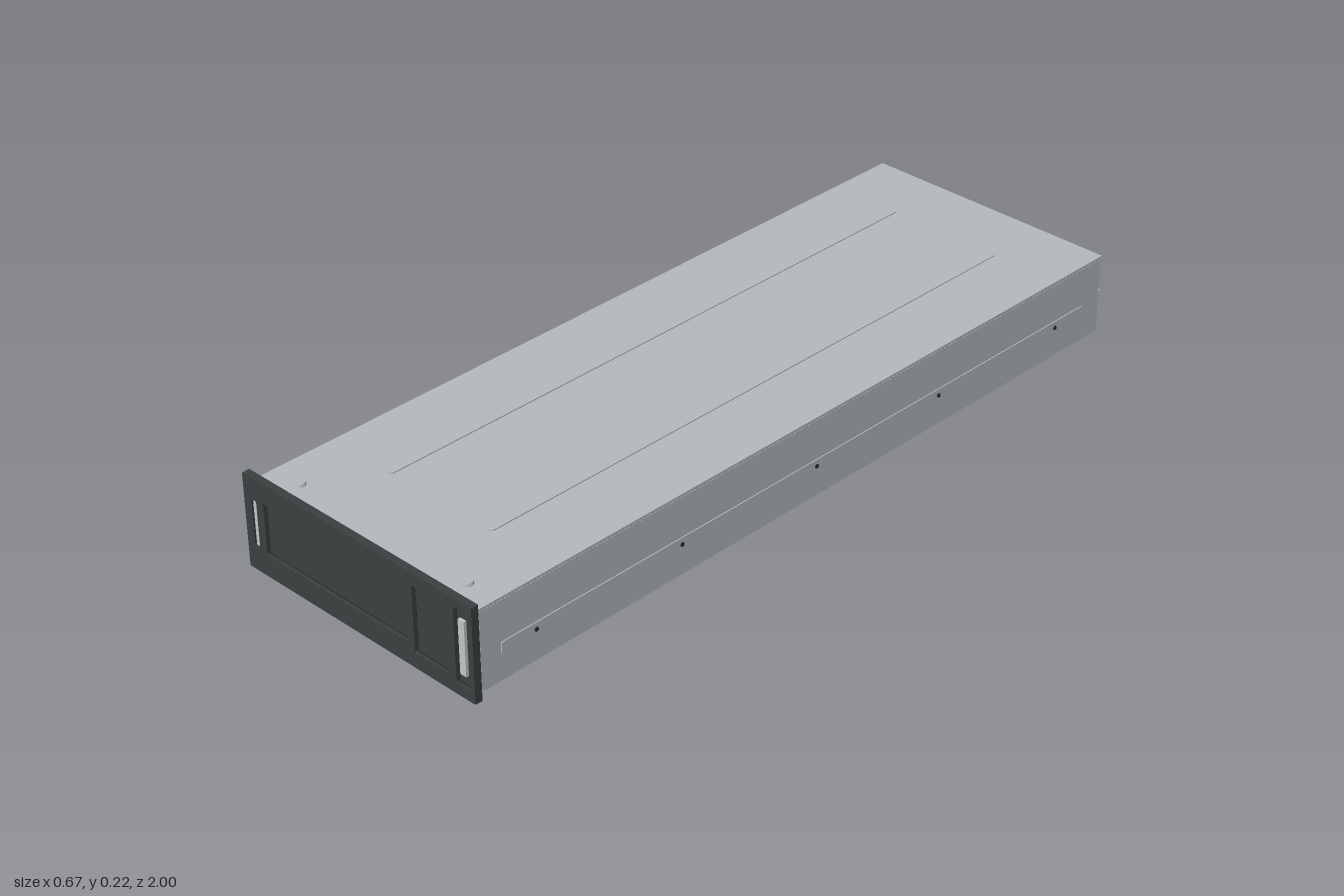
import * as THREE from 'three';

const mat = (name, color) => Object.assign(new THREE.MeshStandardMaterial({ color }), { name });

// Rectangle outline with rounded corners, given by its limits
function roundedRect(Type, x0, x1, y0, y1, r) {
  const s = new Type();
  s.moveTo(x0 + r, y0);
  s.lineTo(x1 - r, y0);
  s.absarc(x1 - r, y0 + r, r, -Math.PI / 2, 0);
  s.lineTo(x1, y1 - r);
  s.absarc(x1 - r, y1 - r, r, 0, Math.PI / 2);
  s.lineTo(x0 + r, y1);
  s.absarc(x0 + r, y1 - r, r, Math.PI / 2, Math.PI);
  s.lineTo(x0, y0 + r);
  s.absarc(x0 + r, y0 + r, r, Math.PI, Math.PI * 1.5);
  return s;
}

export function createModel() {
  const model = new THREE.Group();
  model.name = 'rackPowerModule';
  const steel = mat('sheetSteel', 0xb4b8bc);
  const dark = mat('darkPlastic', 0x3a4040);
  const black = mat('blackPlastic', 0x282c2c);
  const light = mat('lightMetal', 0xc2c5c6);

  const add = (name, geo, material, x = 0, y = 0, z = 0) => {
    const m = new THREE.Mesh(geo, material);
    m.name = name;
    m.position.set(x, y, z);
    model.add(m);
    return m;
  };
  // Box given by its limits on each axis
  const box = (name, material, x0, x1, y0, y1, z0, z1) =>
    add(name, new THREE.BoxGeometry(x1 - x0, y1 - y0, z1 - z0), material,
      (x0 + x1) / 2, (y0 + y1) / 2, (z0 + z1) / 2);
  const extrude = (shape, depth) =>
    new THREE.ExtrudeGeometry(shape, { depth, bevelEnabled: false, curveSegments: 5 });

  // Long sheet-metal case with a thin lid, shadow gap and neck behind the panel
  box('case', steel, -0.326, 0.326, 0.01, 0.195, -0.92, 0.972);
  box('lidGap', black, -0.325, 0.325, 0.195, 0.197, -0.918, 0.97);
  box('lid', steel, -0.327, 0.327, 0.197, 0.203, -0.922, 0.972);
  box('panelNeck', steel, -0.315, 0.315, 0.015, 0.195, 0.97, 0.984);

  // Shallow pressed ribs along the lid
  for (const x of [-0.15, 0.145]) {
    const rib = add('lidRib', extrude(roundedRect(THREE.Shape, -0.009, 0.009, -0.77, 0.77, 0.0088), 0.003),
      steel, x, 0.2025, 0.01);
    rib.rotation.x = -Math.PI / 2;
  }

  // Screws at the front of the lid
  for (const x of [-0.247, 0.247])
    add('lidScrew', new THREE.CylinderGeometry(0.013, 0.015, 0.006, 20), steel, x, 0.206, 0.93);

  // Side rails with rivets
  for (const s of [-1, 1]) {
    const rail = add('sideRail', extrude(roundedRect(THREE.Shape, -0.89, 0.89, -0.015, 0.015, 0.005), 0.003),
      steel, s * 0.3255, 0.085, 0.03);
    rail.rotation.y = s * Math.PI / 2;
    for (const z of [-0.76, -0.36, 0.03, 0.43, 0.83]) {
      const rivet = add('railRivet', new THREE.CylinderGeometry(0.005, 0.005, 0.004, 10), black, s * 0.329, 0.085, z);
      rivet.rotation.z = Math.PI / 2;
    }
  }

  // Front panel with recesses: slot, wide bay, small bay, latch bay
  const recesses = [
    [-0.314, -0.299, 0.059, 0.171, 0.004],
    [-0.277, 0.148, 0.053, 0.177, 0.004],
    [0.167, 0.266, 0.036, 0.195, 0.006],
    [0.285, 0.325, 0.026, 0.204, 0.006],
  ];
  const face = roundedRect(THREE.Shape, -0.337, 0.337, 0, 0.224, 0.001);
  for (const r of recesses) face.holes.push(roundedRect(THREE.Path, ...r));
  add('frontPanel', extrude(face, 0.008), dark, 0, 0, 0.992);
  box('panelBack', dark, -0.337, 0.337, 0, 0.224, 0.982, 0.992);

  // Dark rim inside each recess
  for (const [x0, x1, y0, y1, r] of recesses) {
    const rim = roundedRect(THREE.Shape, x0, x1, y0, y1, r);
    rim.holes.push(roundedRect(THREE.Path, x0 + 0.0025, x1 - 0.0025, y0 + 0.0025, y1 - 0.0025, r - 0.002));
    add('recessRim', extrude(rim, 0.001), black, 0, 0, 0.9915);
  }
  box('slotInsert', light, -0.311, -0.302, 0.062, 0.168, 0.99, 0.998);
  box('latchHandle', light, 0.296, 0.313, 0.052, 0.18, 0.99, 0.999);

  // Open connector housing on the rear wall
  const housing = (name, x0, x1) => {
    const shell = roundedRect(THREE.Shape, x0, x1, 0.017, 0.084, 0.003);
    shell.holes.push(roundedRect(THREE.Path, x0 + 0.008, x1 - 0.008, 0.025, 0.076, 0.002));
    add(name, extrude(shell, 0.042), black, 0, 0, -0.961);
    box(name + 'Floor', black, x0 + 0.004, x1 - 0.004, 0.02, 0.081, -0.945, -0.92);
  };
  housing('signalConnector', -0.2, -0.03);
  for (let i = 0; i < 8; i++)
    for (let j = 0; j < 3; j++) {
      const x = -0.182 + i * 0.0192, y = 0.034 + j * 0.0165;
      box('signalContact', light, x - 0.004, x + 0.004, y - 0.003, y + 0.003, -0.956, -0.94);
    }
  housing('powerConnector', 0.07, 0.2);
  for (let i = 0; i < 6; i++) {
    const x = 0.09 + i * 0.018;
    box('powerBlade', light, x - 0.002, x + 0.002, 0.03, 0.052, -0.977, -0.94);
    box('bladeDivider', black, x + 0.005, x + 0.009, 0.025, 0.076, -0.958, -0.94);
  }

  // Rear guide pins with stepped tips
  const pinProfile = [[0, 0], [0.009, 0], [0.009, 0.012], [0.006, 0.014], [0.006, 0.062], [0.004, 0.08], [0, 0.08]]
    .map(([r, h]) => new THREE.Vector2(r, h));
  for (const x of [-0.273, 0.27]) {
    const pin = add('guidePin', new THREE.LatheGeometry(pinProfile, 16), light, x, 0.06, -0.92);
    pin.rotation.x = -Math.PI / 2;
  }

  return model;
}
